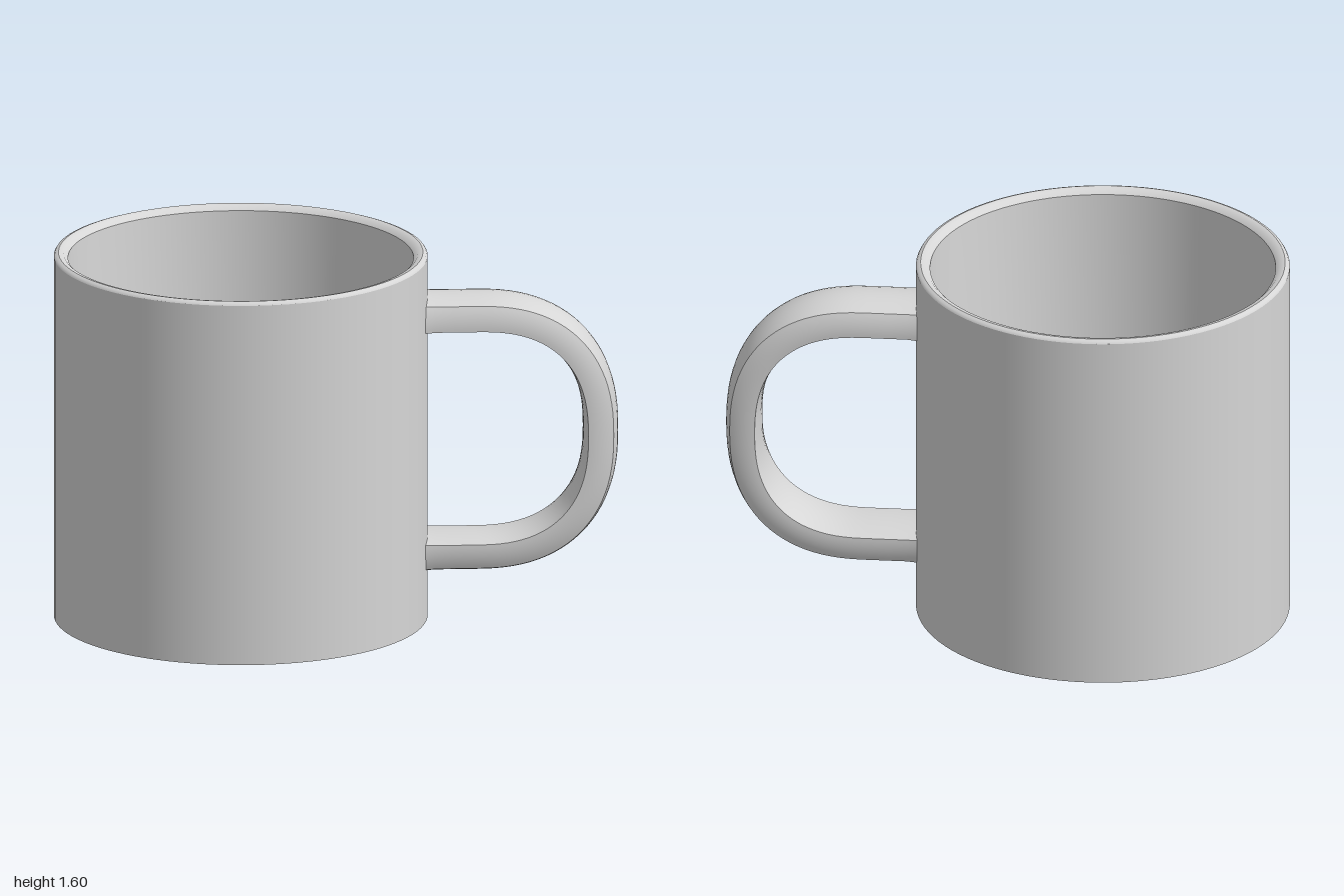
import * as THREE from 'three';

const grey = new THREE.MeshStandardMaterial({ color: 0xd6d6d6 });
grey.name = 'ceramicGrey';

// Smooth surface of revolution; separate calls leave sharp edges between them
function lathe(name, profile) {
  const points = profile.map(([r, y]) => new THREE.Vector2(r, y));
  const mesh = new THREE.Mesh(new THREE.LatheGeometry(points, 96), grey);
  mesh.name = name;
  return mesh;
}

// One crowned side of the handle section: quadratic from a to b through control c
function sectionSide(a, c, b, steps = 8) {
  const curve = new THREE.QuadraticBezierCurve(
    new THREE.Vector2(...a), new THREE.Vector2(...c), new THREE.Vector2(...b));
  return curve.getPoints(steps);
}

function handleGeometry() {
  // Path stations in the handle plane: [distance, height, tangent angle, scale]
  const midY = 0.803, halfY = 0.524, bend = 1.0, reach = 0.523;
  const legs = [[0.755, 1.04], [0.785, 1.03], [0.82, 1], [0.9, 1]];
  const stations = legs.map(([s, k]) => [s, midY + halfY, 0, k]);

  // Squarish half ellipse joining the two legs
  const steps = 48, power = 2 / 2.4;
  for (let i = 0; i <= steps; i++) {
    const t = Math.PI / 2 - (Math.PI * i) / steps;
    const c = Math.max(Math.cos(t), 0), h = Math.abs(Math.sin(t)), sign = Math.sign(t);
    const normal = Math.atan2(sign * h ** (2 - power) / halfY, c ** (2 - power) / reach);
    stations.push([bend + reach * c ** power, midY + sign * halfY * h ** power,
      normal - Math.PI / 2, 1]);
  }
  for (const [s, k] of [...legs].reverse()) stations.push([s, midY - halfY, -Math.PI, k]);

  // Section as [width, thickness]: crowned faces meeting at four creased corners
  const o = 0.137, i = 0.156, top = 0.052, low = -0.056;
  const sides = [
    sectionSide([-o, top], [0, 0.104], [o, top]),
    sectionSide([o, top], [0.16, 0], [i, low]),
    sectionSide([i, low], [0, -0.086], [-i, low]),
    sectionSide([-i, low], [-0.16, 0], [-o, top]),
  ];
  const positions = [], index = [];
  for (const side of sides) {
    const base = positions.length / 3, n = side.length;
    stations.forEach(([s, y, angle, k], row) => {
      for (const p of side) {
        positions.push(s - Math.sin(angle) * p.y * k, y + Math.cos(angle) * p.y * k, p.x * k);
      }
      if (row === 0) return;
      for (let j = 0; j < n - 1; j++) {
        const a = base + (row - 1) * n + j, c = a + n;
        index.push(a, a + 1, c, a + 1, c + 1, c);
      }
    });
  }
  const geometry = new THREE.BufferGeometry();
  geometry.setAttribute('position', new THREE.Float32BufferAttribute(positions, 3));
  geometry.setIndex(index);
  geometry.computeVertexNormals();
  return geometry;
}

export function createModel() {
  const mug = new THREE.Group();
  mug.name = 'mug';

  // Body, from the underside up over the rim and down to the inner floor
  mug.add(
    lathe('underside', [[0, 0], [0.792, 0]]),
    lathe('outerWall', [[0.792, 0], [0.792, 1.58]]),
    lathe('rimEdge', [[0.792, 1.58], [0.786, 1.59], [0.772, 1.595]]),
    lathe('rim', [[0.772, 1.595], [0.75, 1.59], [0.732, 1.572]]),
    lathe('innerWall', [[0.732, 1.572], [0.692, 0.13], [0.67, 0.1]]),
    lathe('innerFloor', [[0.67, 0.1], [0, 0.1]]),
  );

  // Handle, pointing to the back left
  const handle = new THREE.Mesh(handleGeometry(), grey);
  handle.name = 'handle';
  handle.rotation.y = Math.PI / 4;
  mug.add(handle);

  mug.position.set(-0.208, 0, 0.208);
  const model = new THREE.Group();
  model.name = 'model';
  model.add(mug);
  return model;
}
